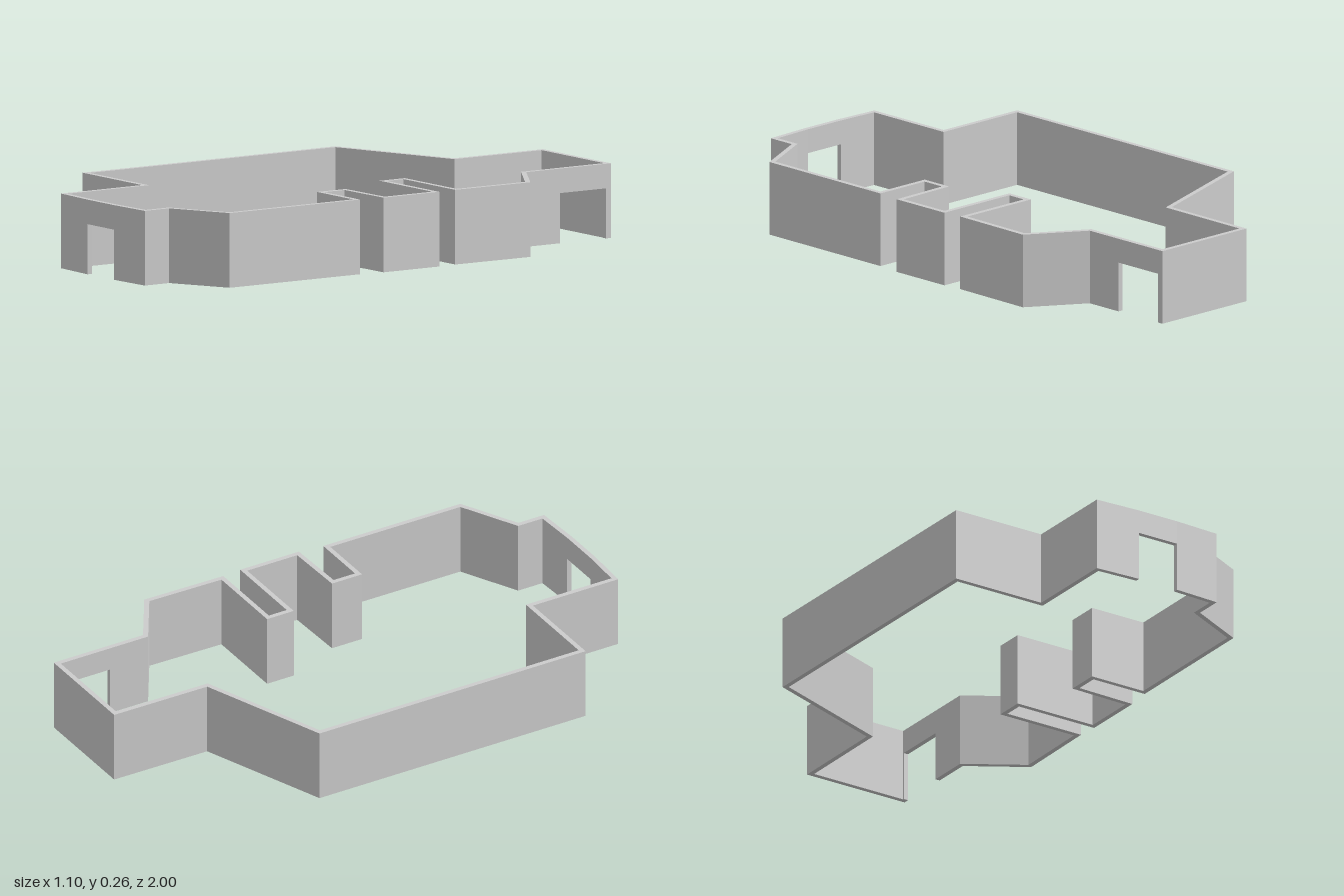
import * as THREE from 'three';

const HEIGHT = 0.265, DOOR = 0.178, HALF = 0.009;

// Centre line of the wall as [x, z], clockwise from above, starting at the side door
const LINE = [
  [0.333, -0.78], [0.333, -0.63], [0.537, -0.503], [0.532, -0.197],
  [0.22, -0.197], [0.22, -0.106], [0.538, -0.106],                   // rear notch
  [0.538, 0.116], [0.31, 0.122], [0.31, 0.227], [0.527, 0.227],      // front notch
  [0.525, 0.772], [0.31, 0.88], [0.31, 0.982],
  [0.145, 0.99], [-0.015, 0.99],                                     // front door jambs
  [-0.18, 0.982], [-0.18, 0.633], [-0.54, 0.633], [-0.54, -0.44],
  [-0.065, -0.615], [-0.062, -0.991], [0.333, -0.991],
  [0.333, -0.978],                                                   // side door jamb
].map(([x, z]) => new THREE.Vector2(x, -z));
const FRONT_DOOR = [14, 15], SIDE_DOOR = [LINE.length - 1, LINE.length];

// Mitred offset of one centre line point
function offset(i, distance) {
  const n = LINE.length, p = LINE[i % n];
  const normal = (a, b) => new THREE.Vector2(a.y - b.y, b.x - a.x).normalize();
  const n1 = normal(LINE[(i + n - 1) % n], p);
  const n2 = normal(p, LINE[(i + 1) % n]);
  const mitre = n1.clone().add(n2).multiplyScalar(distance / (1 + n1.dot(n2)));
  return p.clone().add(mitre);
}

// Wall strip that follows the centre line from one point to another
function wall(name, from, to, y0, material) {
  const outer = [], inner = [];
  for (let i = from; i <= to; i++) {
    outer.push(offset(i, HALF));
    inner.unshift(offset(i, -HALF));
  }
  const geometry = new THREE.ExtrudeGeometry(new THREE.Shape([...outer, ...inner]), {
    depth: HEIGHT - y0, bevelEnabled: false,
  });
  geometry.rotateX(-Math.PI / 2).translate(0, y0, 0);
  const mesh = new THREE.Mesh(geometry, material);
  mesh.name = name;
  return mesh;
}

export function createModel() {
  const material = new THREE.MeshStandardMaterial({ color: 0xcccccc });
  const group = new THREE.Group();
  group.name = 'floorPlanWalls';
  group.add(
    wall('leftWalls', 0, FRONT_DOOR[0], 0, material),
    wall('rightAndBackWalls', FRONT_DOOR[1], SIDE_DOOR[0], 0, material),
    wall('frontDoorLintel', ...FRONT_DOOR, DOOR, material),
    wall('sideDoorLintel', ...SIDE_DOOR, DOOR, material),
  );
  return group;
}
